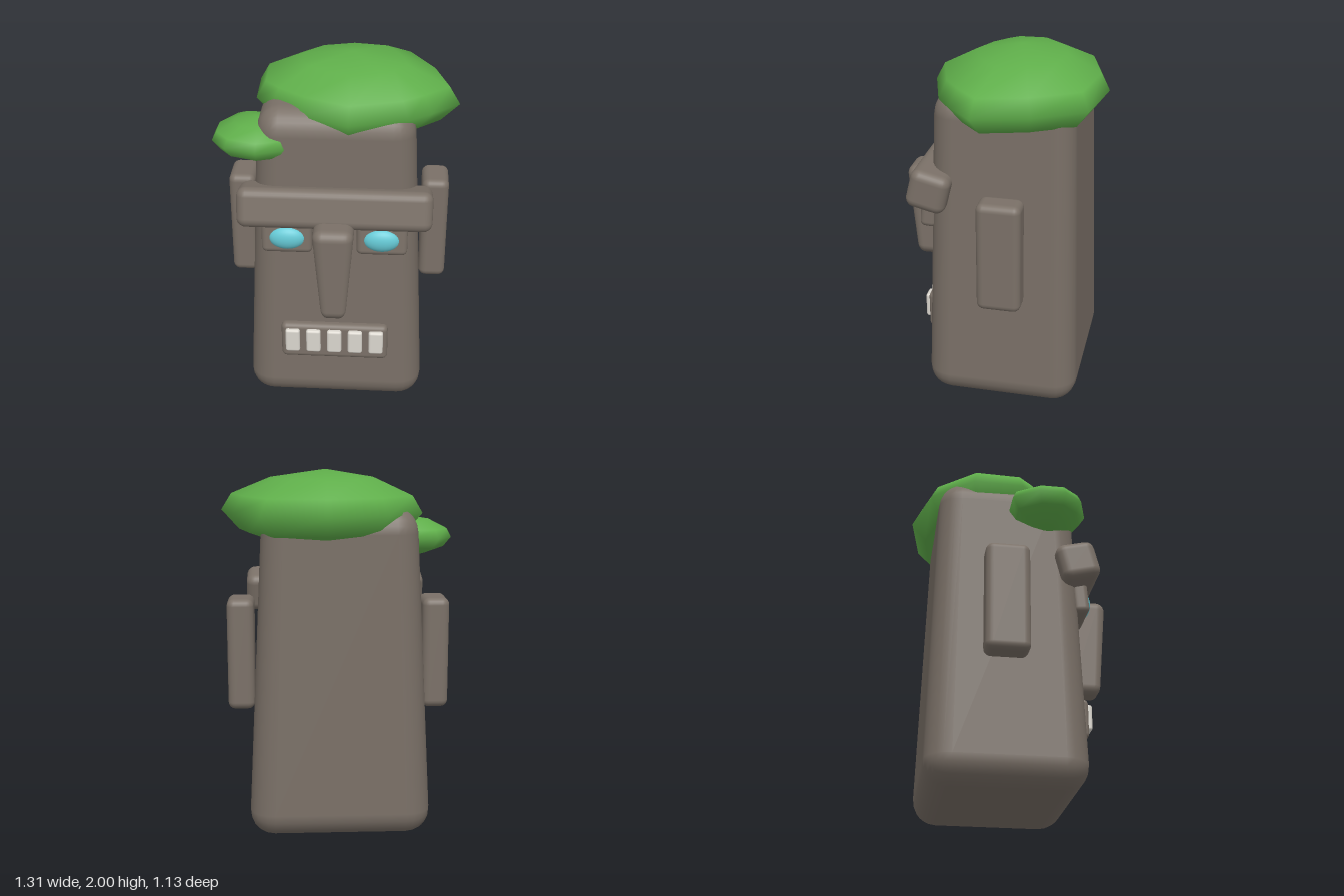
import * as THREE from 'three';
import { RoundedBoxGeometry } from 'three/addons/geometries/RoundedBoxGeometry.js';

const mat = (name, color) => {
  const m = new THREE.MeshStandardMaterial({ color });
  m.name = name;
  return m;
};

// Rounded block, optionally narrowed towards its top or bottom.
// taper: x and z scale at the bottom, then at the top
function block(w, h, d, r, taper = [1, 1, 1, 1], segments = 3) {
  const geo = new RoundedBoxGeometry(w, h, d, segments, r);
  const [bx, bz, tx, tz] = taper;
  const p = geo.attributes.position;
  for (let i = 0; i < p.count; i++) {
    const t = p.getY(i) / h + 0.5;
    p.setX(i, p.getX(i) * THREE.MathUtils.lerp(bx, tx, t));
    p.setZ(i, p.getZ(i) * THREE.MathUtils.lerp(bz, tz, t));
  }
  return geo;
}

// Cushion of moss: an outline seen from above, shrunk ring by ring to both poles
function mossGeometry(outline, cx, cz, cy, ry) {
  const rings = [[-0.8, 0.42], [-0.46, 0.83], [0, 1], [0.4, 0.9], [0.8, 0.52]];
  const n = outline.length;
  const pos = [cx, cy - ry, cz];
  for (const [y, s] of rings) {
    for (const [x, z] of outline) pos.push(cx + (x - cx) * s, cy + y * ry, cz + (z - cz) * s);
  }
  pos.push(cx, cy + ry, cz);
  const top = pos.length / 3 - 1;
  const last = 1 + (rings.length - 1) * n;
  const index = [];
  for (let i = 0; i < n; i++) {
    const k = (i + 1) % n;
    index.push(0, 1 + k, 1 + i, last + i, last + k, top);
    for (let j = 0; j < rings.length - 1; j++) {
      const a = 1 + j * n, b = a + n;
      index.push(a + i, a + k, b + k, a + i, b + k, b + i);
    }
  }
  const geo = new THREE.BufferGeometry();
  geo.setAttribute('position', new THREE.Float32BufferAttribute(pos, 3));
  geo.setIndex(index);
  geo.computeVertexNormals();
  return geo;
}

export function createModel() {
  const group = new THREE.Group();
  group.name = 'stoneHead';
  const stone = mat('stone', 0x7a7067);
  const moss = mat('moss', 0x5fae4a);
  const eyeBlue = mat('eyeBlue', 0x66cad6);
  const ivory = mat('ivory', 0xdad6ce);

  const add = (name, geo, material, x = 0, y = 0, z = 0, rx = 0) => {
    const m = new THREE.Mesh(geo, material);
    m.name = name;
    m.position.set(x, y, z);
    m.rotation.x = rx;
    group.add(m);
    return m;
  };

  // Tapered pillar
  add('head', block(1, 1.81, 0.865, 0.14, [1.01, 1, 0.83, 0.87]), stone, 0, 0.905, -0.057);

  // Face
  add('brow', block(1.045, 0.22, 0.22, 0.05), stone, 0, 1.28, 0.325, -0.24);
  add('nose', block(0.22, 0.57, 0.27, 0.055, [0.6, 0.72, 1.03, 1.02]), stone, 0, 0.955, 0.43);
  for (const [side, s] of [['left', 1], ['right', -1]]) {
    add(side + 'EyeSocket', block(0.275, 0.2, 0.09, 0.03), stone, s * 0.257, 1.12, 0.355, -0.08);
    const eye = add(side + 'Eye', new THREE.SphereGeometry(1, 24, 16), eyeBlue, s * 0.255, 1.113, 0.385);
    eye.scale.set(0.1, 0.068, 0.047);
    add(side + 'Ear', block(0.15, 0.625, 0.24, 0.04), stone, s * 0.545, 0.98, -0.08);
  }

  // Mouth with a row of teeth
  add('mouth', block(0.605, 0.225, 0.1, 0.03), stone, 0, 0.432, 0.35);
  for (let i = 0; i < 5; i++) {
    add('tooth' + (i + 1), block(0.082, 0.145, 0.06, 0.014), ivory, (i - 2) * 0.118, 0.447, 0.393);
  }

  // Moss on the crown and on the right temple
  add('mossCap', mossGeometry([
    [0.65, 0.05], [0.57, -0.24], [0.42, -0.51], [0.07, -0.57], [-0.25, -0.48], [-0.45, -0.25],
    [-0.44, 0.03], [-0.35, 0.13], [-0.19, 0.26], [0.07, 0.375], [0.38, 0.28], [0.5, 0.19],
  ], 0.07, -0.1, 1.77, 0.23), moss);
  add('mossTuft', mossGeometry([
    [-0.2, 0.15], [-0.25, -0.02], [-0.42, -0.05], [-0.57, -0.05], [-0.66, 0.09],
    [-0.66, 0.23], [-0.58, 0.33], [-0.41, 0.385], [-0.27, 0.34],
  ], -0.41, 0.17, 1.605, 0.12), moss);

  return group;
}
